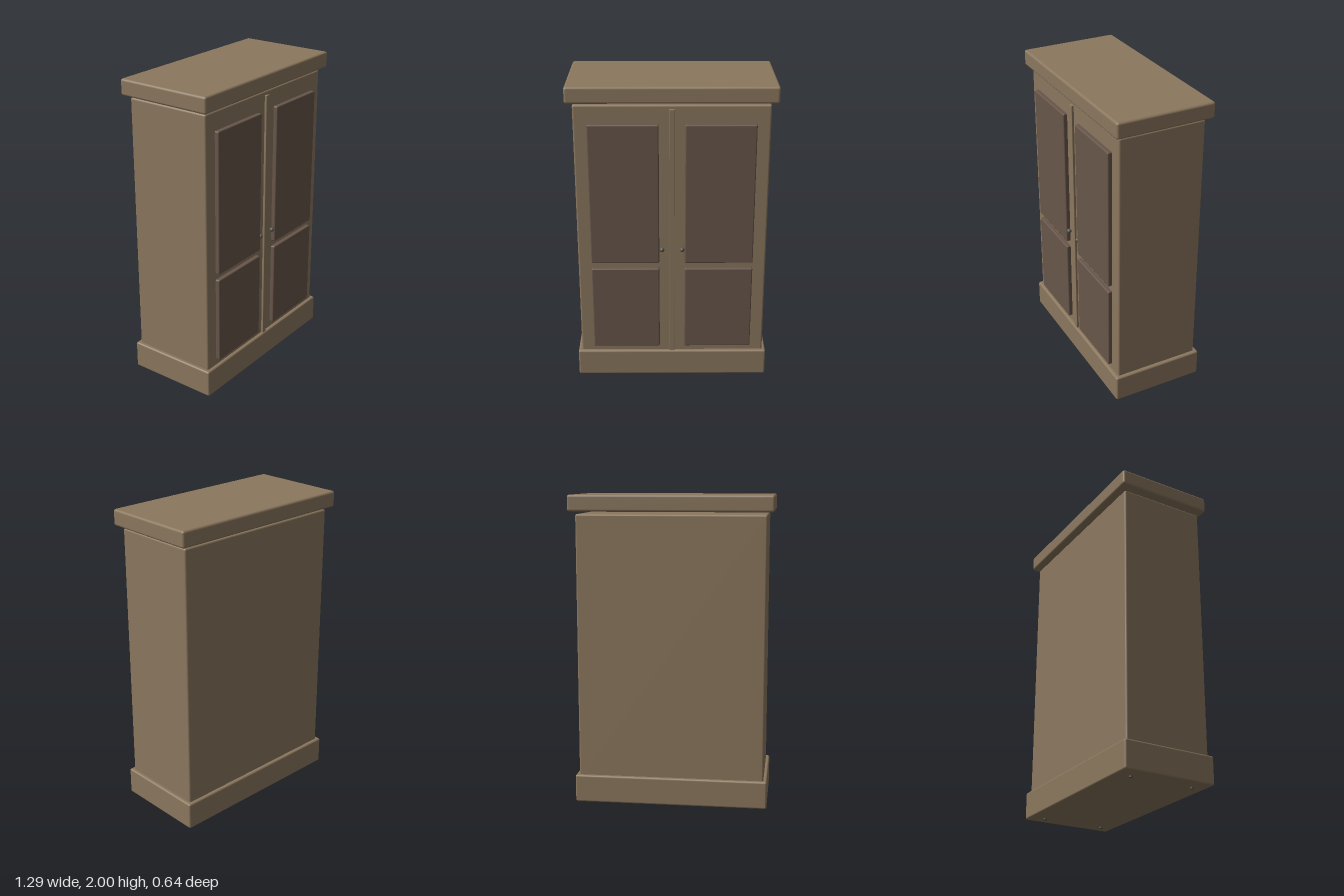
import * as THREE from 'three';
import { RoundedBoxGeometry } from 'three/addons/geometries/RoundedBoxGeometry.js';

const wood = new THREE.MeshStandardMaterial({ color: 0x8b775e });
const darkWood = new THREE.MeshStandardMaterial({ color: 0x68564a });
const metal = new THREE.MeshStandardMaterial({ color: 0x55554f });

export function createModel() {
  const cabinet = new THREE.Group();
  cabinet.name = 'cabinet';

  const add = (name, geometry, material, x, y, z) => {
    const mesh = new THREE.Mesh(geometry, material);
    mesh.name = name;
    mesh.position.set(x, y, z);
    cabinet.add(mesh);
    return mesh;
  };

  // Softly rounded board given by its centre x, width and y / z ranges
  const board = (name, material, x, width, [y0, y1], [z0, z1], radius) =>
    add(name, new RoundedBoxGeometry(width, y1 - y0, z1 - z0, 3, radius),
      material, x, (y0 + y1) / 2, (z0 + z1) / 2);

  // Carcass, plinth and the top that sits just clear of the carcass
  board('plinth', wood, 0, 1.246, [0.01, 0.19], [-0.307, 0.307], 0.012);
  board('carcass', wood, 0, 1.2, [0.15, 1.88], [-0.284, 0.284], 0.012);
  board('cornice', wood, 0, 1.286, [1.896, 2], [-0.32, 0.32], 0.015);

  // Strip where the two doors meet
  board('centreStrip', wood, 0, 0.034, [0.18, 1.855], [0.27, 0.299], 0.003);

  for (const [side, s] of [['left', 1], ['right', -1]]) {
    // Raised door panels
    board(`${side}UpperPanel`, darkWood, s * 0.298, 0.434, [0.842, 1.763], [0.27, 0.312], 0.008);
    board(`${side}LowerPanel`, darkWood, s * 0.298, 0.434, [0.231, 0.802], [0.27, 0.312], 0.008);

    // Door knob
    add(`${side}Knob`, new THREE.SphereGeometry(0.015, 20, 14), metal, s * 0.064, 0.932, 0.3);

    // Small feet under the plinth
    for (const [end, z] of [['Front', 0.21], ['Back', -0.21]]) {
      add(`${side}${end}Foot`, new THREE.CylinderGeometry(0.011, 0.011, 0.02, 16),
        metal, s * 0.525, 0.01, z);
    }
  }
  return cabinet;
}
